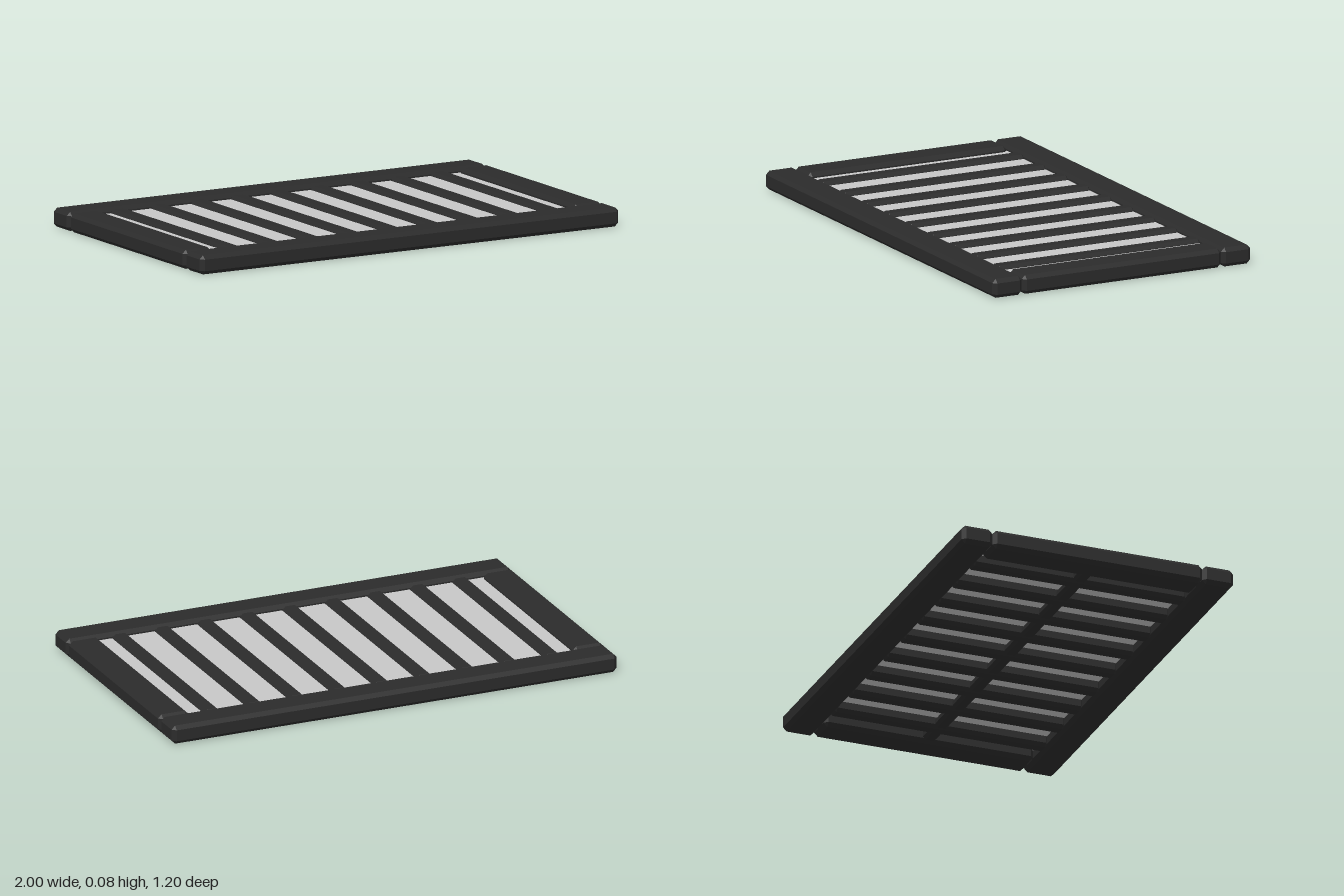
import * as THREE from 'three';
import { ConvexGeometry } from 'three/addons/geometries/ConvexGeometry.js';

// Box centred on the origin with every edge cut by a flat chamfer c
function chamferBox(w, h, d, c) {
  const [x, y, z] = [w / 2, h / 2, d / 2];
  const points = [];
  for (const i of [-1, 1]) for (const j of [-1, 1]) for (const k of [-1, 1]) {
    points.push(
      new THREE.Vector3(i * x, j * (y - c), k * (z - c)),
      new THREE.Vector3(i * (x - c), j * y, k * (z - c)),
      new THREE.Vector3(i * (x - c), j * (y - c), k * z)
    );
  }
  return new ConvexGeometry(points);
}

export function createModel() {
  const group = new THREE.Group();
  const frameMat = new THREE.MeshStandardMaterial({ color: 0x2b2b2b });
  frameMat.name = 'darkFrame';
  const panelMat = new THREE.MeshStandardMaterial({ color: 0xc6c6c6 });
  panelMat.name = 'lightGreyPanel';

  const add = (name, geometry, material, x, y, z) => {
    const mesh = new THREE.Mesh(geometry, material);
    mesh.name = name;
    mesh.position.set(x, y, z);
    group.add(mesh);
  };

  // Long rails at front and back, short stiles at the sides
  const rail = chamferBox(2, 0.08, 0.136, 0.016);
  const stile = chamferBox(0.136, 0.08, 0.926, 0.016);
  for (const s of [-1, 1]) {
    add(s > 0 ? 'frontRail' : 'backRail', rail, frameMat, 0, 0.04, s * 0.532);
    add(s > 0 ? 'leftStile' : 'rightStile', stile, frameMat, s * 0.932, 0.04, 0);
  }

  // Nine evenly spaced slats
  const slat = chamferBox(0.07, 0.068, 0.95, 0.014);
  for (let i = -4; i <= 4; i++) add('slat', slat, frameMat, i * 0.191, 0.04, 0);

  // Cross bar below the panel
  add('crossBar', chamferBox(1.76, 0.042, 0.06, 0.012), frameMat, 0, 0.031, 0);

  // Thin panel filling the frame
  add('panel', new THREE.BoxGeometry(1.76, 0.008, 0.96), panelMat, 0, 0.054, 0);

  return group;
}
